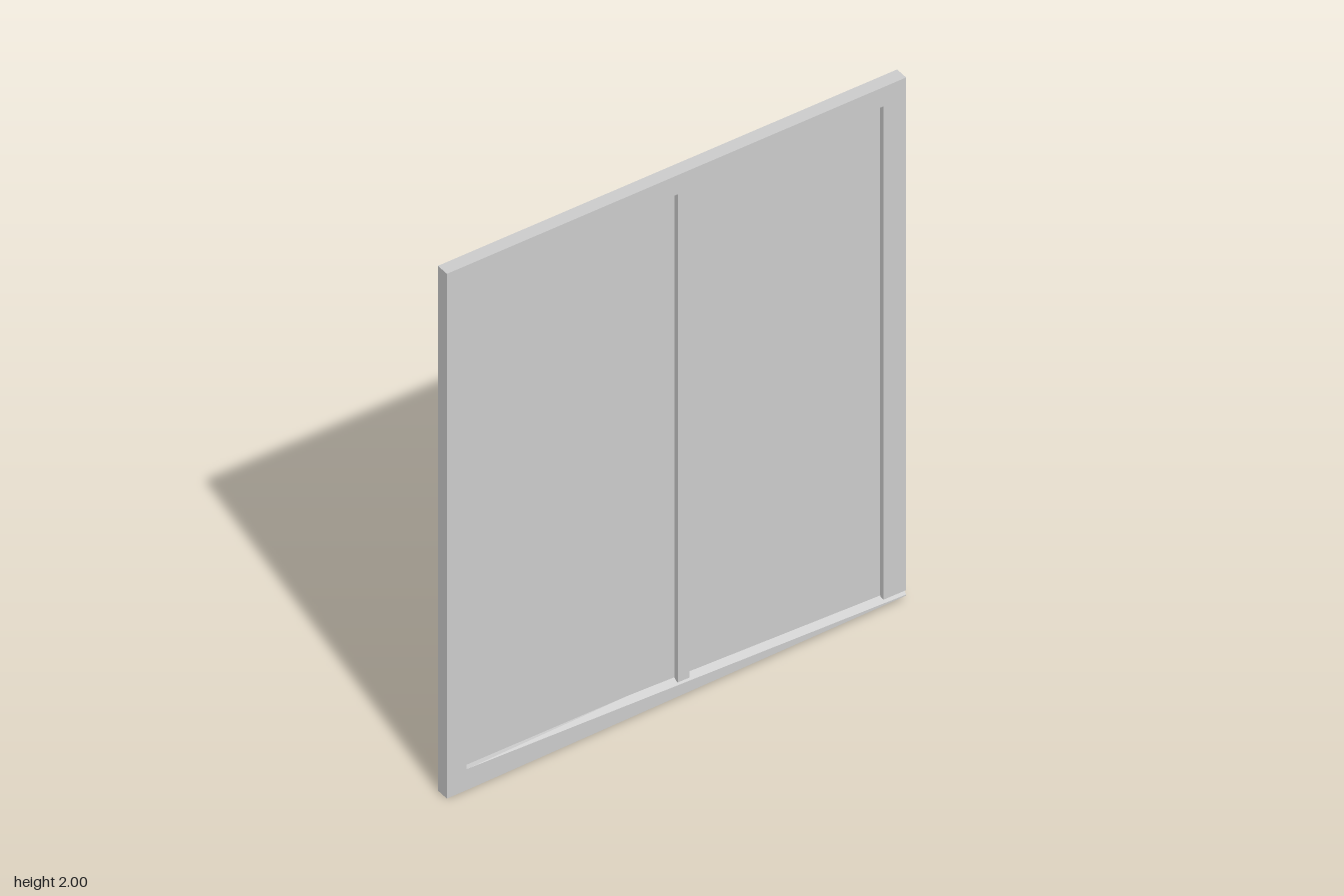
import * as THREE from 'three';

const material = new THREE.MeshStandardMaterial({ color: 0xcccccc, flatShading: true });
const BACK = 0.02, FRONT = 0.068, HALF = 0.843;

// Box given by its x, y and z limits
function slab(name, x0, x1, y0, y1, z0 = BACK, z1 = FRONT) {
  const mesh = new THREE.Mesh(new THREE.BoxGeometry(x1 - x0, y1 - y0, z1 - z0), material);
  mesh.name = name;
  mesh.position.set((x0 + x1) / 2, (y0 + y1) / 2, (z0 + z1) / 2);
  return mesh;
}

// Faceted solid through rings of points, counter-clockwise seen from the path's end
function loft(name, rings) {
  const n = rings[0].length, last = rings.length - 1, pos = [];
  const tri = (a, b, c) => pos.push(...a, ...b, ...c);
  for (let i = 0; i < last; i++) {
    for (let j = 0; j < n; j++) {
      const k = (j + 1) % n;
      tri(rings[i][j], rings[i][k], rings[i + 1][j]);
      tri(rings[i][k], rings[i + 1][k], rings[i + 1][j]);
    }
  }
  for (let j = 1; j < n - 1; j++) {
    tri(rings[0][0], rings[0][j + 1], rings[0][j]);
    tri(rings[last][0], rings[last][j], rings[last][j + 1]);
  }
  const geometry = new THREE.BufferGeometry();
  geometry.setAttribute('position', new THREE.Float32BufferAttribute(pos, 3));
  geometry.computeVertexNormals();
  const mesh = new THREE.Mesh(geometry, material);
  mesh.name = name;
  return mesh;
}

// Pull handle: two tapered legs joined by a thin grip with a ridged back
function handle(name, x) {
  // Each section: half widths, then y and z of inner edge, outer edge and ridge
  const sections = [
    [0.012, 0.018, 1.003, BACK, 1.034, BACK, 1.04, BACK],
    [0.018, 0.02, 1.012, -0.055, 1.02, -0.062, 1.025, -0.068],
    [0.018, 0.02, 0.655, -0.055, 0.645, -0.062, 0.64, -0.068],
    [0.012, 0.018, 0.677, BACK, 0.647, BACK, 0.641, BACK],
  ];
  return loft(name, sections.map(([wi, wo, yi, zi, yo, zo, yr, zr]) => [
    [x - wi, yi, zi], [x - wo, yo, zo], [x, yr, zr], [x + wo, yo, zo], [x + wi, yi, zi],
  ]));
}

export function createModel() {
  const model = new THREE.Group();
  model.name = 'doubleDoor';

  // Frame: the mullion and one stile stop just above the sloping rail
  const frame = new THREE.Group();
  frame.name = 'frame';
  frame.add(
    slab('topRail', -HALF, HALF, 1.927, 2),
    slab('rightStile', -HALF, -0.772, 0.08, 1.927),
    slab('mullion', 0.005, 0.047, 0.066, 1.927),
    slab('leftStile', 0.76, HALF, 0.046, 1.927),
  );

  // Bottom rail: its front face narrows to an edge toward one end
  const railEnd = (x, low, high) => [
    [x, 0, BACK], [x, 0.08, BACK], [x, high, FRONT], [x, low, FRONT],
  ];
  frame.add(loft('bottomRail', [
    railEnd(-HALF, 0, 0.08), railEnd(-0.772, 0, 0.08), railEnd(HALF, 0.025, 0.029),
  ]));
  model.add(frame);

  // Recessed door panels
  model.add(
    slab('rightPanel', -0.772, 0.005, 0.04, 1.927, 0.038, 0.05),
    slab('leftPanel', 0.047, 0.76, 0.04, 1.927, 0.038, 0.05),
  );

  // Handles on the back
  model.add(handle('rightHandle', -0.053), handle('leftHandle', 0.102));
  return model;
}
